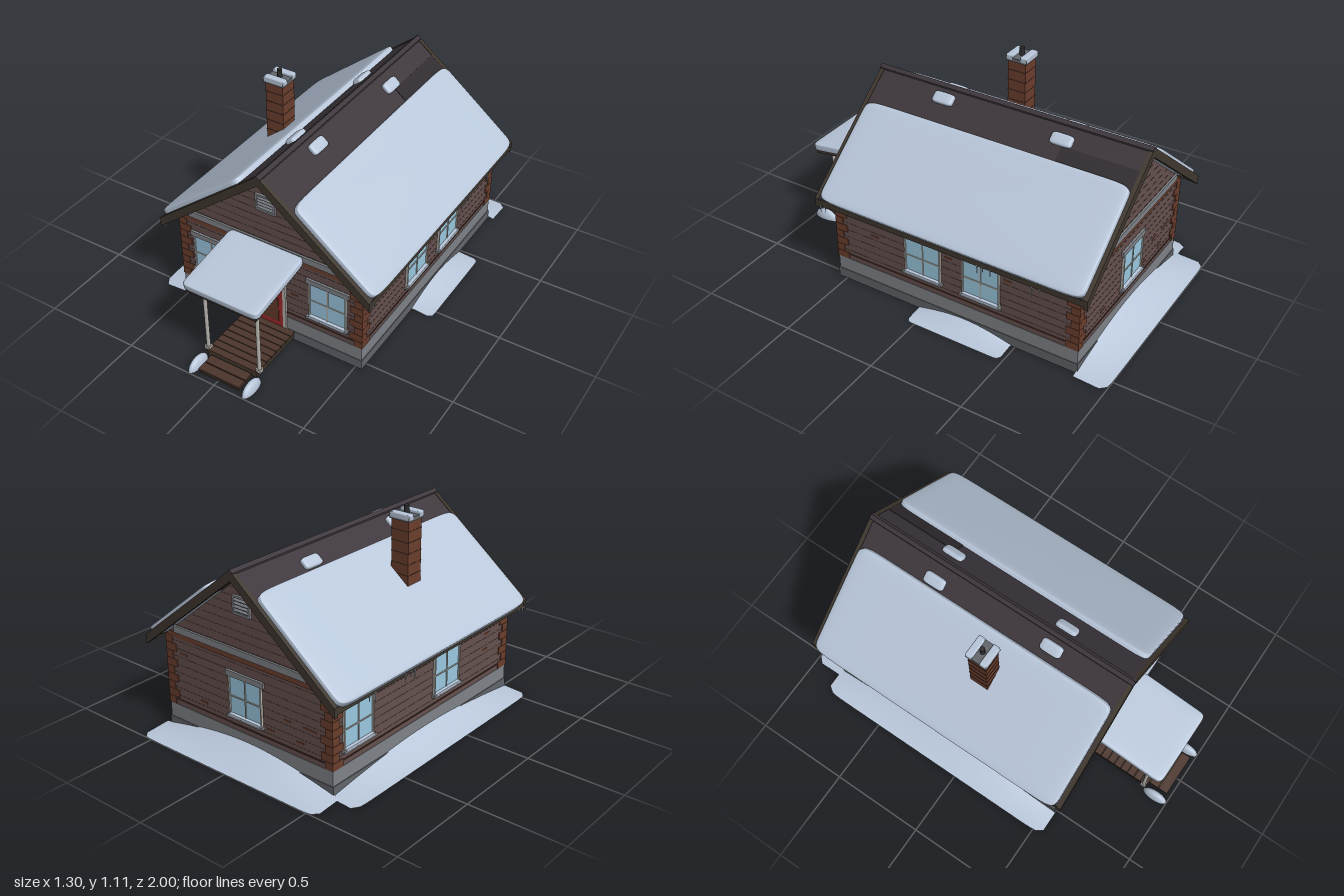
import * as THREE from 'three';
import { mergeVertices } from 'three/addons/utils/BufferGeometryUtils.js';

const mat = (color, opts = {}) => new THREE.MeshStandardMaterial({ color, ...opts });
const M = {
  wall: mat(0x66514e), course: mat(0x564340), brick: mat(0x6c3f2e), brickDark: mat(0x4a2f28),
  stone: mat(0x80848a), stoneDark: mat(0x62666b), roof: mat(0x3d363c), patch: mat(0x2f2a2e),
  barge: mat(0x40382f), snow: mat(0xb9c7da), snowOpen: mat(0xb9c7da, { side: THREE.DoubleSide }),
  glass: mat(0x9ccae2), frame: mat(0xb4b2ac), red: mat(0x9c2a2a), panel: mat(0x643a2c),
  deck: mat(0x4c362c), metal: mat(0x2c2c2e), floor: mat(0x5f5242), ice: mat(0xb4c6d8),
};
const CX = 0.01, W = 0.52, FRONT = 0.54, BACK = -0.83;   // house centre, half width, end walls
const MZ = (FRONT + BACK) / 2, LEN = FRONT - BACK;
const APEX = 0.968, SLOPE = 0.8, PITCH = Math.atan(SLOPE);

function add(parent, name, geo, material, x = 0, y = 0, z = 0) {
  const m = new THREE.Mesh(geo, material);
  m.name = name;
  m.position.set(x, y, z);
  parent.add(m);
  return m;
}
// box given by its extents
const box = (p, name, m, x0, x1, y0, y1, z0, z1) =>
  add(p, name, new THREE.BoxGeometry(x1 - x0, y1 - y0, z1 - z0), m, (x0 + x1) / 2, (y0 + y1) / 2, (z0 + z1) / 2);
const extrude = (pts, depth) =>
  new THREE.ExtrudeGeometry(new THREE.Shape(pts.map(p => new THREE.Vector2(...p))), { depth, bevelEnabled: false });

function group(parent, name, x = 0, y = 0, z = 0, ry = 0) {
  const g = new THREE.Group();
  g.name = name;
  g.position.set(x, y, z);
  g.rotation.y = ry;
  parent.add(g);
  return g;
}

// soft snow cushion: a sphere squared off; lower exponents give tighter edges
function cushion(w, h, d, plan = 0.15, rim = 0.3) {
  let geo = new THREE.SphereGeometry(1, 48, 24);
  geo.deleteAttribute('uv');
  geo.deleteAttribute('normal');
  geo = mergeVertices(geo, 1e-4);
  const p = geo.attributes.position;
  const pw = (v, e) => (Math.abs(v) < 1e-5 ? 0 : Math.sign(v) * Math.pow(Math.abs(v), e));
  for (let i = 0; i < p.count; i++) {
    const x = p.getX(i), y = p.getY(i), z = p.getZ(i), r = Math.hypot(x, z) || 1;
    const s = pw(Math.hypot(x, z), rim);
    p.setXYZ(i, pw(x / r, plan) * s * w / 2, pw(y, rim) * h / 2, pw(z / r, plan) * s * d / 2);
  }
  geo.computeVertexNormals();
  return geo;
}

// paned window facing +z, origin on the wall at ground height
function addWindow(parent, x, z, ry) {
  const g = group(parent, 'window', x, 0, z, ry);
  box(g, 'glass', M.glass, -0.1, 0.1, 0.21, 0.41, -0.01, 0.005);
  for (const s of [-1, 1]) box(g, 'windowJamb', M.frame, s * 0.1 - 0.004, s * 0.1 + 0.004, 0.21, 0.41, 0, 0.012);
  box(g, 'mullion', M.frame, -0.003, 0.003, 0.21, 0.41, 0, 0.009);
  box(g, 'transom', M.frame, -0.1, 0.1, 0.307, 0.313, 0, 0.009);
  box(g, 'lintel', M.stone, -0.118, 0.118, 0.41, 0.438, -0.01, 0.012);
  box(g, 'sill', M.stone, -0.113, 0.113, 0.2, 0.213, -0.01, 0.022);
  add(g, 'sillSnow', cushion(0.2, 0.012, 0.02), M.snow, 0, 0.215, 0.013);
}

// snow drift leaning on a wall, running along local x and falling towards +z
function addDrift(parent, x, z, ry, length, depth, height) {
  const geo = new THREE.PlaneGeometry(2, 1, 40, 10);
  const p = geo.attributes.position;
  for (let i = 0; i < p.count; i++) {
    const u = p.getX(i), v = 0.5 - p.getY(i);
    const reach = depth * (0.8 + 0.2 * Math.sqrt(1 - Math.pow(Math.abs(u), 24)));
    const h = height * Math.cos(u * Math.PI / 2) * Math.pow(1 - v, 1.2);
    p.setXYZ(i, u * length / 2, 0.008 * (1 - v) + h + 0.002, v * reach);
  }
  geo.computeVertexNormals();
  add(parent, 'snowDrift', geo, M.snowOpen, x, 0, z).rotation.y = ry;
}

function addWalls(g) {
  // hollow footing with a recessed floor
  box(g, 'floorPlate', M.floor, CX - W, CX + W, 0.035, 0.055, BACK, FRONT);
  for (const s of [-1, 1]) {
    box(g, 'footing', M.stoneDark, CX + s * (W - 0.007) - 0.013, CX + s * (W - 0.007) + 0.013, 0.004, 0.057, BACK - 0.006, FRONT + 0.006);
    const z = MZ + s * (LEN / 2 - 0.007);
    box(g, 'footing', M.stoneDark, CX - W, CX + W, 0.004, 0.057, z - 0.013, z + 0.013);
  }
  box(g, 'plinth', M.stone, CX - W - 0.002, CX + W + 0.002, 0.05, 0.132, BACK - 0.002, FRONT + 0.002);
  const eave = 0.505;
  add(g, 'walls', extrude([[CX - W, 0.13], [CX + W, 0.13], [CX + W, eave], [CX, 0.925], [CX - W, eave]], LEN), M.wall, 0, 0, BACK);
  // thin horizontal joints, narrowing up the gables
  for (let y = 0.185; y < 0.88; y += 0.042) {
    const hw = Math.min(W, (0.915 - y) / SLOPE);
    box(g, 'wallCourse', M.course, CX - hw - 0.001, CX + hw + 0.001, y, y + 0.002, BACK - 0.001, FRONT + 0.001);
  }
  box(g, 'beltCourse', M.brickDark, CX - W - 0.004, CX + W + 0.004, 0.159, 0.165, BACK - 0.004, FRONT + 0.004);
  // alternating corner bricks
  for (const sx of [-1, 1]) for (const z of [BACK, FRONT]) for (let i = 0; i < 9; i++) {
    const a = i % 2 ? 0.07 : 0.045, b = i % 2 ? 0.045 : 0.07;
    const sz = z === FRONT ? 1 : -1;
    add(g, 'cornerBrick', new THREE.BoxGeometry(a, 0.039, b), M.brick,
      CX + sx * (W + 0.005 - a / 2), 0.153 + i * 0.041, z + sz * (0.005 - b / 2));
  }
  // scattered reddish bricks
  let seed = 7;
  const rnd = () => (seed = (seed * 16807) % 2147483647) / 2147483647;
  for (let i = 0; i < 26; i++) {
    const y = 0.207 + 0.042 * Math.floor(rnd() * 7), side = rnd() < 0.5 ? -1 : 1;
    if (i % 2) add(g, 'accentBrick', new THREE.BoxGeometry(0.004, 0.01, 0.045), M.brick, CX + side * W, y, MZ + (rnd() - 0.5) * 1.2);
    else add(g, 'accentBrick', new THREE.BoxGeometry(0.045, 0.01, 0.004), M.brick,
      CX + (rnd() < 0.5 ? -1 : 1) * (0.13 + rnd() * 0.3), y, side > 0 ? FRONT : BACK);
  }
  // gable trim and louvred vent on both ends
  for (const [z, ry] of [[FRONT, 0], [BACK, Math.PI]]) {
    const e = group(g, 'gableTrim', CX, 0, z, ry);
    box(e, 'brickBand', M.brick, -0.5, 0.5, 0.497, 0.523, -0.01, 0.004);
    box(e, 'gableBand', M.stone, -0.46, 0.46, 0.525, 0.56, -0.01, 0.01);
    box(e, 'ventBack', M.metal, -0.05, 0.05, 0.74, 0.82, -0.01, 0.004);
    for (const s of [-1, 1]) {
      box(e, 'ventSide', M.stone, s * 0.049 - 0.005, s * 0.049 + 0.005, 0.735, 0.825, 0, 0.012);
      box(e, 'ventRail', M.stone, -0.054, 0.054, 0.78 + s * 0.041 - 0.005, 0.78 + s * 0.041 + 0.005, 0, 0.012);
    }
    for (let i = 0; i < 4; i++) add(e, 'ventSlat', new THREE.BoxGeometry(0.09, 0.012, 0.004), M.stone, 0, 0.755 + i * 0.017, 0.007).rotation.x = -0.5;
  }
}

function chevron(half, top, thick) {
  const low = top - half * SLOPE;
  return [[CX, top], [CX - half, low], [CX - half, low - thick], [CX, top - thick], [CX + half, low - thick], [CX + half, low]];
}

function addRoof(g) {
  add(g, 'roof', extrude(chevron(0.588, APEX, 0.035), 1.47), M.roof, 0, 0, -0.88);
  for (const z of [0.585, -0.9]) add(g, 'bargeBoard', extrude(chevron(0.592, APEX + 0.004, 0.052), 0.022), M.barge, 0, 0, z);
  add(g, 'ridgeCap', extrude(chevron(0.018, APEX + 0.008, 0.012), 1.51), M.roof, 0, 0, -0.9);
  const onRoof = (name, geo, m, x, z, lift) => {
    const s = Math.sign(x - CX);
    const mesh = add(g, name, geo, m, x + s * lift * Math.sin(PITCH), APEX - Math.abs(x - CX) * SLOPE + lift * Math.cos(PITCH), z);
    mesh.rotation.z = -s * PITCH;
  };
  for (const [x0, x1] of [[-0.592, -0.108], [0.17, 0.604]])
    onRoof('roofSnow', cushion((x1 - x0) / Math.cos(PITCH), 0.06, 1.46, 0.1, 0.2), M.snow, (x0 + x1) / 2, -0.15, 0);
  onRoof('roofPatch', new THREE.BoxGeometry(0.1, 0.006, 0.41), M.patch, 0.145, -0.685, 0);
  for (const [x, z] of [[-0.075, -0.465], [0.085, -0.47], [-0.05, 0.19], [0.07, 0.195]])
    onRoof('snowClump', cushion(0.062, 0.036, 0.115, 0.4, 0.5), M.snow, x, z, 0.004);
  // eave boards and icicles
  for (const s of [-1, 1]) {
    box(g, 'eaveBoard', M.barge, CX + s * 0.585 - 0.006, CX + s * 0.585 + 0.006, 0.46, 0.495, -0.88, 0.59);
    [0.55, 0.58, -0.33, -0.36, -0.4, -0.62, -0.66].forEach((z, i) => {
      const h = 0.04 + 0.012 * (i % 3);
      add(g, 'icicle', new THREE.ConeGeometry(0.005, h, 6), M.ice, CX + s * 0.587, 0.464 - h / 2, z).rotation.x = Math.PI;
    });
  }
}

function addChimney(g) {
  const c = group(g, 'chimney', -0.29, 0, -0.03);
  box(c, 'chimneyStack', M.brick, -0.05, 0.05, 0.66, 1.05, -0.05, 0.05);
  for (let y = 0.72; y < 1.04; y += 0.055) box(c, 'chimneyJoint', M.brickDark, -0.0515, 0.0515, y, y + 0.004, -0.0515, 0.0515);
  box(c, 'chimneyCap', M.stoneDark, -0.058, 0.058, 1.048, 1.068, -0.058, 0.058);
  for (const s of [-1, 1]) add(c, 'chimneySnow', cushion(0.118, 0.032, 0.037), M.snow, 0, 1.067, s * 0.04);
  add(c, 'fluePipe', new THREE.CylinderGeometry(0.013, 0.013, 0.06, 12), M.metal, 0, 1.08, 0);
}

function addDoor(g) {
  const d = group(g, 'door', CX, 0, FRONT);
  for (const s of [-1, 1]) box(d, 'doorJamb', M.frame, s * 0.091 - 0.009, s * 0.091 + 0.009, 0.06, 0.44, -0.01, 0.012);
  box(d, 'doorHead', M.frame, -0.1, 0.1, 0.428, 0.445, -0.01, 0.013);
  box(d, 'doorLeaf', M.red, -0.083, 0.083, 0.06, 0.428, -0.01, 0.01);
  for (const [y0, y1] of [[0.09, 0.235], [0.26, 0.395]]) box(d, 'doorPanel', M.panel, -0.058, 0.058, y0, y1, 0, 0.013);
  add(d, 'doorKnob', new THREE.SphereGeometry(0.008, 10, 8), M.metal, -0.071, 0.235, 0.014);
}

function addPorch(g) {
  const p = group(g, 'porch', CX);
  for (let i = 0; i < 8; i++) box(p, 'deckBoard', M.deck, -0.145, 0.145, 0.043, 0.056, 0.543 + i * 0.041, 0.58 + i * 0.041);
  box(p, 'deckFrame', M.barge, -0.14, 0.14, 0.015, 0.045, 0.54, 0.866);
  for (let i = 0; i < 2; i++) box(p, 'stepBoard', M.deck, -0.117, 0.117, 0.024, 0.036, 0.872 + i * 0.055, 0.922 + i * 0.055);
  box(p, 'stepFrame', M.barge, -0.112, 0.112, 0.006, 0.026, 0.86, 0.97);
  for (const s of [-1, 1]) {
    add(p, 'post', new THREE.CylinderGeometry(0.01, 0.01, 0.41, 12), M.frame, s * 0.148, 0.255, 0.85);
    box(p, 'postBase', M.frame, s * 0.148 - 0.014, s * 0.148 + 0.014, 0.05, 0.07, 0.836, 0.864);
    const mound = add(p, 'snowMound', new THREE.SphereGeometry(1, 20, 10, 0, Math.PI * 2, 0, Math.PI / 2), M.snowOpen, s * 0.155, 0.002, 0.93);
    mound.scale.set(0.026, 0.053, 0.07);
  }
  const r = group(p, 'porchRoof', 0, 0.482, 0.735);
  r.rotation.x = 0.14;
  box(r, 'porchRoofBoard', M.barge, -0.195, 0.195, -0.012, 0.01, -0.195, 0.19);
  add(r, 'porchSnow', cushion(0.418, 0.046, 0.4, 0.12, 0.25), M.snow, 0, 0.027, 0);
  box(p, 'porchBeam', M.frame, -0.165, 0.165, 0.442, 0.458, 0.842, 0.858);
}

export function createModel() {
  const g = new THREE.Group();
  g.name = 'snowyCottage';
  for (const addPart of [addWalls, addRoof, addChimney, addDoor, addPorch]) addPart(g);
  const R = Math.PI / 2;
  for (const x of [-0.325, 0.345]) addWindow(g, x, FRONT, 0);
  for (const z of [0.02, -0.31]) addWindow(g, CX + W, z, R);
  for (const z of [0.01, -0.66]) addWindow(g, CX - W, z, -R);
  addWindow(g, CX, BACK, Math.PI);
  addDrift(g, CX, BACK, Math.PI, 1.12, 0.17, 0.08);
  addDrift(g, CX - W, -0.15, -R, 1.4, 0.145, 0.062);
  addDrift(g, CX + W, -0.215, R, 0.53, 0.12, 0.042);
  return g;
}
